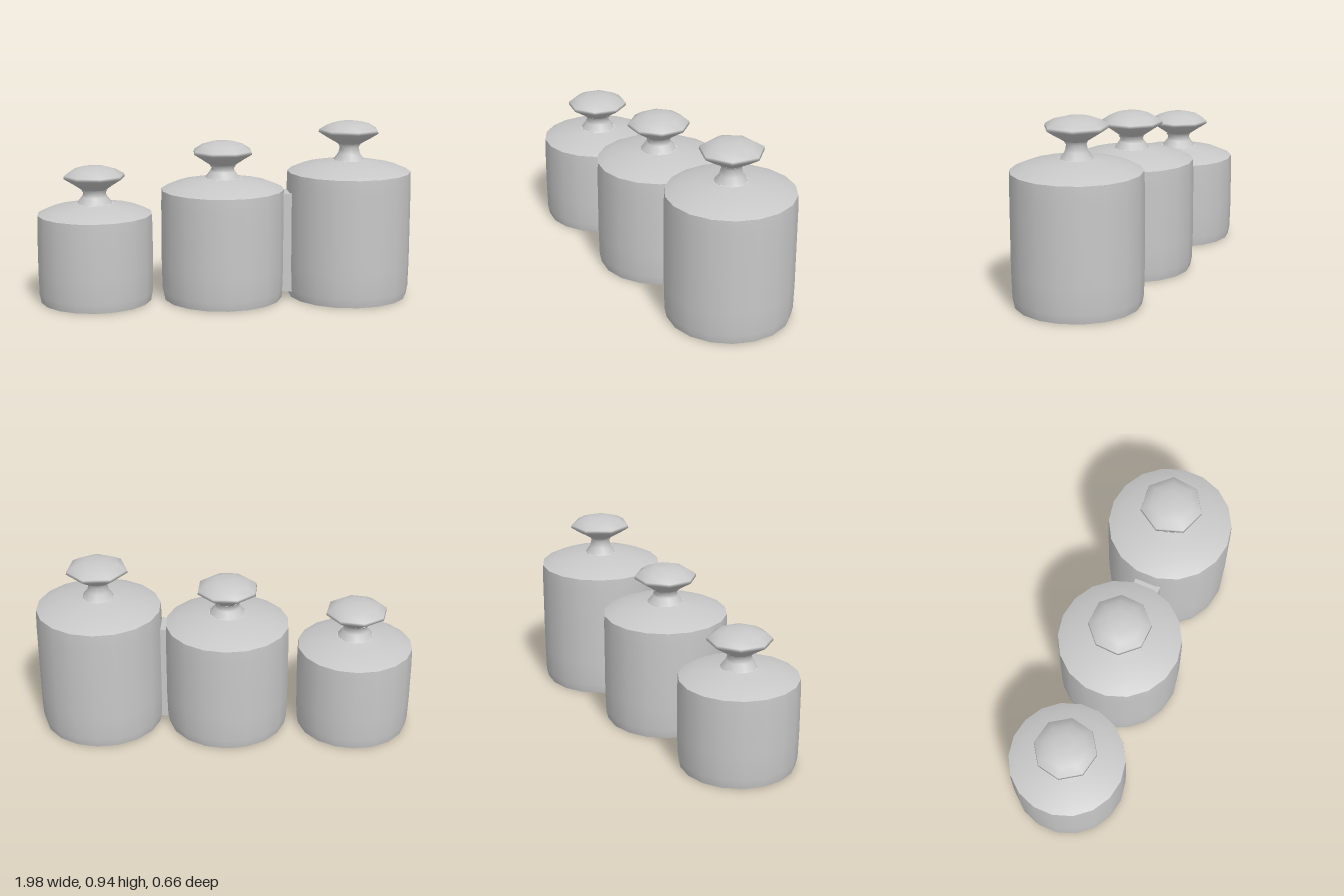
import * as THREE from 'three';

const metal = new THREE.MeshStandardMaterial({ color: 0xc8c8c8 });
metal.name = 'plain grey';

// Smooth lathe through [radius, height] pairs, listed from bottom to top
function turned(name, profile, sides, turn = 0) {
  const points = profile.map(([r, y]) => new THREE.Vector2(r, y));
  const mesh = new THREE.Mesh(new THREE.LatheGeometry(points, sides), metal);
  mesh.name = name;
  mesh.rotation.y = turn;
  return mesh;
}

function canister({ name, x, z, radius, wall, neckBase, rim, top, neck, knobSides, knobTurn }) {
  const group = new THREE.Group();
  group.name = name;
  group.position.set(x, 0, z);

  // Flat underside
  group.add(turned('base', [[0, 0], [radius * 0.96, 0.003]], 18));

  // Straight wall with a slightly worn lower edge
  group.add(turned('body', [
    [radius * 0.96, 0.003], [radius * 0.99, 0.05], [radius, 0.18],
    [radius, wall - 0.08], [radius * 0.99, wall],
  ], 18));

  // Sloping shoulder rising to the neck
  group.add(turned('shoulder', [
    [radius * 0.99, wall], [radius * 0.78, wall + (neckBase - wall) * 0.5],
    [radius * 0.5, neckBase - 0.012], [neck + 0.035, neckBase],
  ], 18));

  // Waisted neck
  group.add(turned('neck', [
    [neck + 0.035, neckBase], [neck + 0.008, neckBase + 0.035],
    [neck, rim - 0.085], [neck + 0.012, rim - 0.065],
  ], 10));

  // Faceted mushroom knob
  group.add(turned('knob', [
    [neck, rim - 0.072], [0.115, rim - 0.035], [0.163, rim - 0.005], [0.16, rim + 0.01],
    [0.115, (rim + top) / 2 + 0.01], [0.06, top - 0.002], [0, top],
  ], knobSides, knobTurn));
  return group;
}

export function createModel() {
  const model = new THREE.Group();
  model.name = 'canisterSet';

  model.add(canister({
    name: 'smallCanister', x: -0.685, z: -0.005, radius: 0.305, wall: 0.47,
    neckBase: 0.525, rim: 0.665, top: 0.72, neck: 0.06, knobSides: 8, knobTurn: 0.2,
  }));
  model.add(canister({
    name: 'mediumCanister', x: -0.01, z: 0, radius: 0.328, wall: 0.59,
    neckBase: 0.65, rim: 0.785, top: 0.843, neck: 0.06, knobSides: 8, knobTurn: 0.35,
  }));
  model.add(canister({
    name: 'largeCanister', x: 0.665, z: 0, radius: 0.33, wall: 0.675,
    neckBase: 0.735, rim: 0.888, top: 0.94, neck: 0.05, knobSides: 7, knobTurn: 0.1,
  }));

  // Narrow web where the two larger canisters touch
  const web = new THREE.Mesh(new THREE.BoxGeometry(0.06, 0.53, 0.14), metal);
  web.name = 'joiningWeb';
  web.position.set(0.328, 0.305, 0.01);
  model.add(web);

  return model;
}
